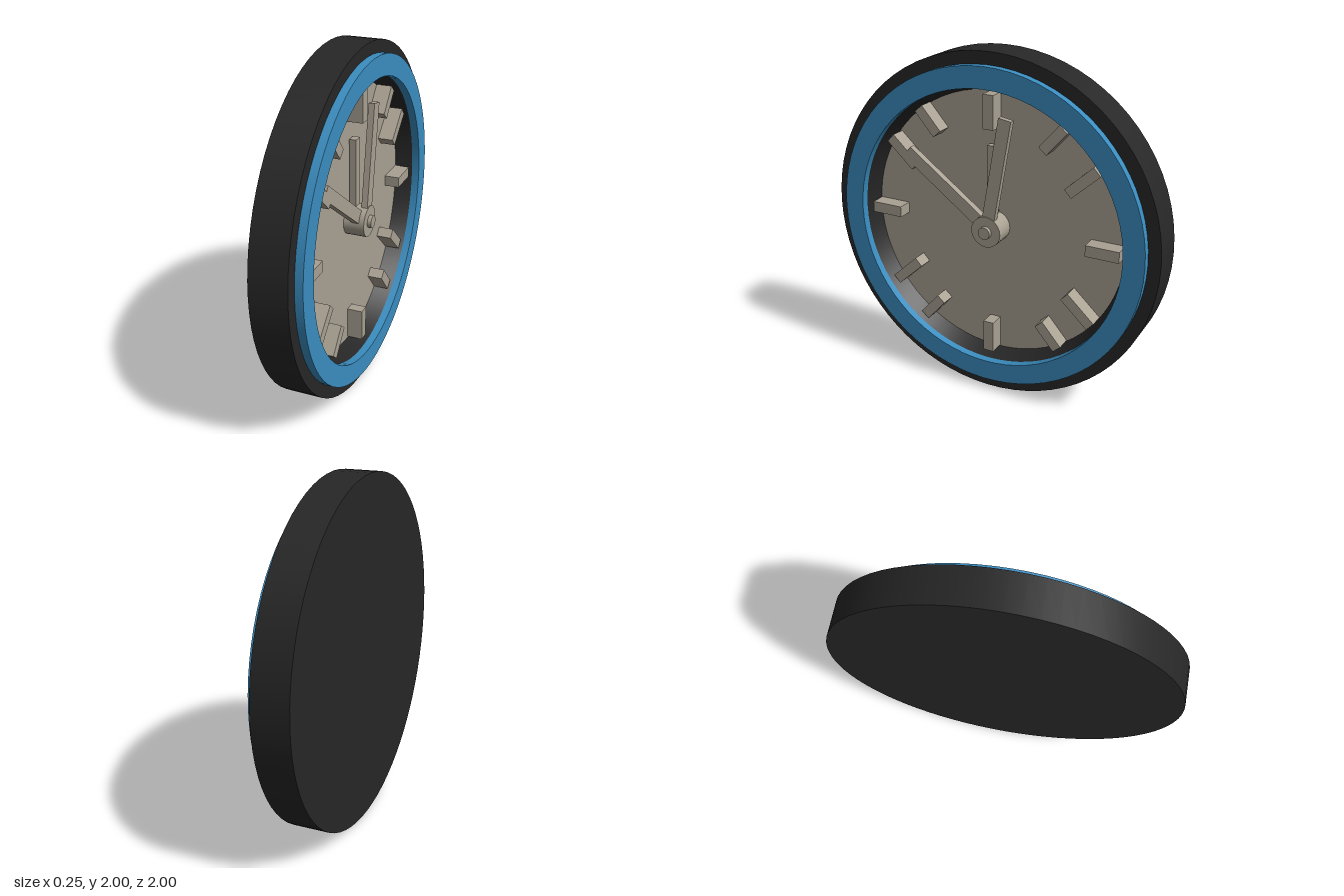
import * as THREE from 'three';
import { toCreasedNormals } from 'three/addons/utils/BufferGeometryUtils.js';

const mat = (name, color) => new THREE.MeshStandardMaterial({ name, color });

export function createModel() {
  const black = mat('black casing', 0x272727);
  const blue = mat('blue bezel', 0x3a8dc0);
  const beige = mat('beige dial', 0xa9a192);

  const clock = new THREE.Group();
  clock.name = 'wallClock';
  // Everything on the dial is placed around the clock's centre; the dial faces +x
  const centre = new THREE.Group();
  centre.name = 'clockBody';
  centre.position.y = 1;
  clock.add(centre);

  function add(name, geometry, material) {
    const mesh = new THREE.Mesh(geometry, material);
    mesh.name = name;
    centre.add(mesh);
    return mesh;
  }

  // Turned part: profile of [radius, x] pairs spun around the x axis
  function turned(name, profile, material, segments = 72) {
    const points = profile.map(([r, x]) => new THREE.Vector2(r, x));
    const g = new THREE.LatheGeometry(points, segments).rotateZ(-Math.PI / 2);
    return add(name, toCreasedNormals(g, 0.6), material);
  }

  // Straight bar on the dial between two [z, y] points, from depth x0 to x1
  function bar(name, [z0, y0], [z1, y1], width, x0, x1) {
    const length = Math.hypot(z1 - z0, y1 - y0);
    const mesh = add(name, new THREE.BoxGeometry(x1 - x0, length, width), beige);
    mesh.position.set((x0 + x1) / 2, (y0 + y1) / 2, (z0 + z1) / 2);
    mesh.rotation.x = Math.atan2(z1 - z0, y1 - y0);
  }

  // Casing with a recessed, slightly tapering inner wall
  turned('casing', [[0, -0.13], [1, -0.13], [1, 0.08], [0.81, 0.08], [0.775, -0.025]], black);
  turned('bezel', [[0.81, 0.07], [0.93, 0.07], [0.93, 0.125], [0.81, 0.125], [0.81, 0.07]], blue);
  turned('dial', [[0.78, -0.02], [0, -0.02]], beige);

  // Hour markers: quarters, then the in-between ones mirrored to both sides
  for (const s of [1, -1]) {
    bar('verticalMarker', [0, s * 0.58], [0, s * 0.77], 0.064, -0.03, 0.07);
    bar('horizontalMarker', [s * 0.58, 0], [s * 0.772, 0], 0.064, -0.03, 0.07);
    for (const t of [1, -1]) {
      bar('steepMarker', [s * 0.32, t * 0.51], [s * 0.435, t * 0.642], 0.06, -0.03, 0.07);
      bar('shallowMarker', [s * 0.47, t * 0.3], [s * 0.628, t * 0.446], 0.06, -0.03, 0.07);
    }
  }

  // Hands, stacked outward along the spindle
  bar('alarmHand', [0, 0], [0, 0.48], 0.055, -0.01, 0.03);
  bar('hourHand', [0, 0], [0.52, 0.38], 0.075, 0.03, 0.07);
  bar('minuteHand', [0, 0], [-0.112, 0.655], 0.075, 0.06, 0.095);

  // Hub and spindle pin
  turned('hub', [[0.09, -0.03], [0.09, 0.1], [0, 0.1]], beige, 24);
  turned('spindlePin', [[0.036, 0.09], [0.036, 0.122], [0, 0.122]], beige, 20);

  return clock;
}
